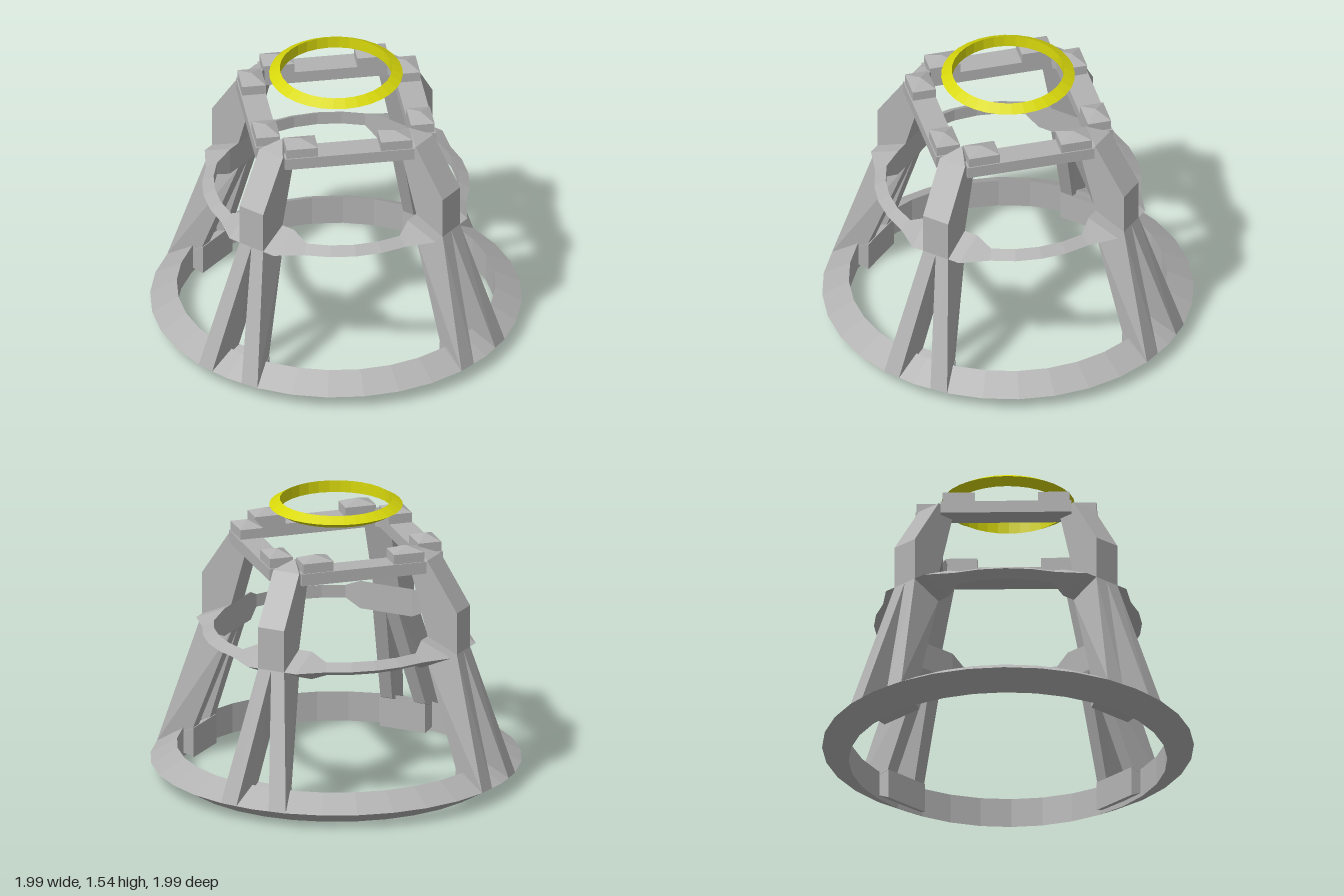
import * as THREE from 'three';
import { ConvexGeometry } from 'three/addons/geometries/ConvexGeometry.js';

const grey = new THREE.MeshStandardMaterial({ color: 0xb2b2b2 });
grey.name = 'grey metal';
const yellow = new THREE.MeshStandardMaterial({ color: 0xd8d80c });
yellow.name = 'yellow';

function part(parent, name, geometry, material = grey) {
  const mesh = new THREE.Mesh(geometry, material);
  mesh.name = name;
  parent.add(mesh);
  return mesh;
}

// Flat-sided solid around a few corner points
const hull = (pts) => new ConvexGeometry(pts.map((p) => new THREE.Vector3(...p)));

// Corner points repeated on both sides of x = 0
const mirrored = (pts) => pts.flatMap(([x, y, z]) => [[x, y, z], [-x, y, z]]);

// Point at radius r, height y, j steps of 1/32 turn from the front
const polar = (r, y, j) => {
  const a = (j * Math.PI) / 16;
  return [r * Math.sin(a), y, r * Math.cos(a)];
};

// Triangular section (outer, top, bottom) of a plain ring
const triangle = (R, t, y) => (j) => [
  polar(R + t, y, j),
  polar(R - t / 2, y + t * 0.866, j),
  polar(R - t / 2, y - t * 0.866, j),
];

// Closed ring lofted from the section of one quadrant, j = -4..3
function ring(section) {
  const pos = [];
  const loops = [];
  const up = new THREE.Vector3(0, 1, 0);
  for (let q = 0; q < 4; q++) {
    for (let j = -4; j < 4; j++) {
      loops.push(section(j).map((p) => new THREE.Vector3(...p).applyAxisAngle(up, (q * Math.PI) / 2)));
    }
  }
  loops.forEach((a, k) => {
    const b = loops[(k + 1) % loops.length];
    for (let i = 0; i < 3; i++) {
      const n = (i + 1) % 3;
      for (const v of [a[i], b[i], b[n], a[i], b[n], a[n]]) pos.push(v.x, v.y, v.z);
    }
  });
  const g = new THREE.BufferGeometry();
  g.setAttribute('position', new THREE.Float32BufferAttribute(pos, 3));
  g.computeVertexNormals();
  return g;
}

// Middle ring swells to a wide flat pad at each leg
const plainMiddle = triangle(0.676, 0.041, 0.797);
function middleSection(j) {
  if (Math.abs(j) > 1) return plainMiddle(j);
  return [[j * 0.145, 0.797, 0.765], [j * 0.155, 0.875, 0.59], [j * 0.155, 0.72, 0.59]];
}

function makeLeg() {
  const leg = new THREE.Group();
  // Foot block reaching inward from the base ring
  part(leg, 'foot', hull(mirrored([[0.195, 0.083, 0.976], [0.135, 0.165, 0.785], [0.135, 0.001, 0.785]])));
  // Two struts forming an upside-down V
  for (const s of [-1, 1]) {
    part(leg, 'strut', hull([
      [s * 0.195, 0.083, 0.976], [s * 0.097, 0.083, 0.986],
      [s * 0.135, 0.165, 0.79], [s * 0.065, 0.165, 0.79],
      [s * 0.078, 0.797, 0.765], [0, 0.797, 0.765],
      [s * 0.078, 0.72, 0.59], [0, 0.72, 0.59],
    ]));
  }
  // Upper post, slanting in to a point at the top
  part(leg, 'post', hull([
    ...mirrored([
      [0.078, 0.797, 0.765], [0.078, 1.03, 0.765], [0.078, 1.3, 0.587],
      [0.078, 1.235, 0.487], [0.078, 0.873, 0.59],
    ]),
    [0, 1.345, 0.485],
  ]));
  return leg;
}

function makeTopSide() {
  const side = new THREE.Group();
  part(side, 'topBar', new THREE.BoxGeometry(0.7, 0.067, 0.134).translate(0, 1.268, 0.421));
  // Peaked block at each end of the bar
  for (const s of [-1, 1]) {
    const pts = [[s * 0.255, 1.385, 0.418]];
    for (const x of [0.17, 0.34]) {
      for (const z of [0.354, 0.482]) pts.push([s * x, 1.29, z], [s * x, 1.355, z]);
    }
    part(side, 'peakedBlock', hull(pts));
  }
  return side;
}

export function createModel() {
  const model = new THREE.Group();
  model.name = 'towerFrame';

  part(model, 'baseRing', ring(triangle(0.9, 0.095, 0.083)));
  part(model, 'middleRing', ring(middleSection));
  part(model, 'floatingRing', ring(triangle(0.32, 0.038, 1.508)), yellow);

  for (let q = 0; q < 4; q++) {
    const leg = makeLeg();
    leg.name = 'leg';
    leg.rotation.y = (q * Math.PI) / 2;
    const side = makeTopSide();
    side.name = 'topSide';
    side.rotation.y = ((q + 0.5) * Math.PI) / 2;
    model.add(leg, side);
  }
  return model;
}
